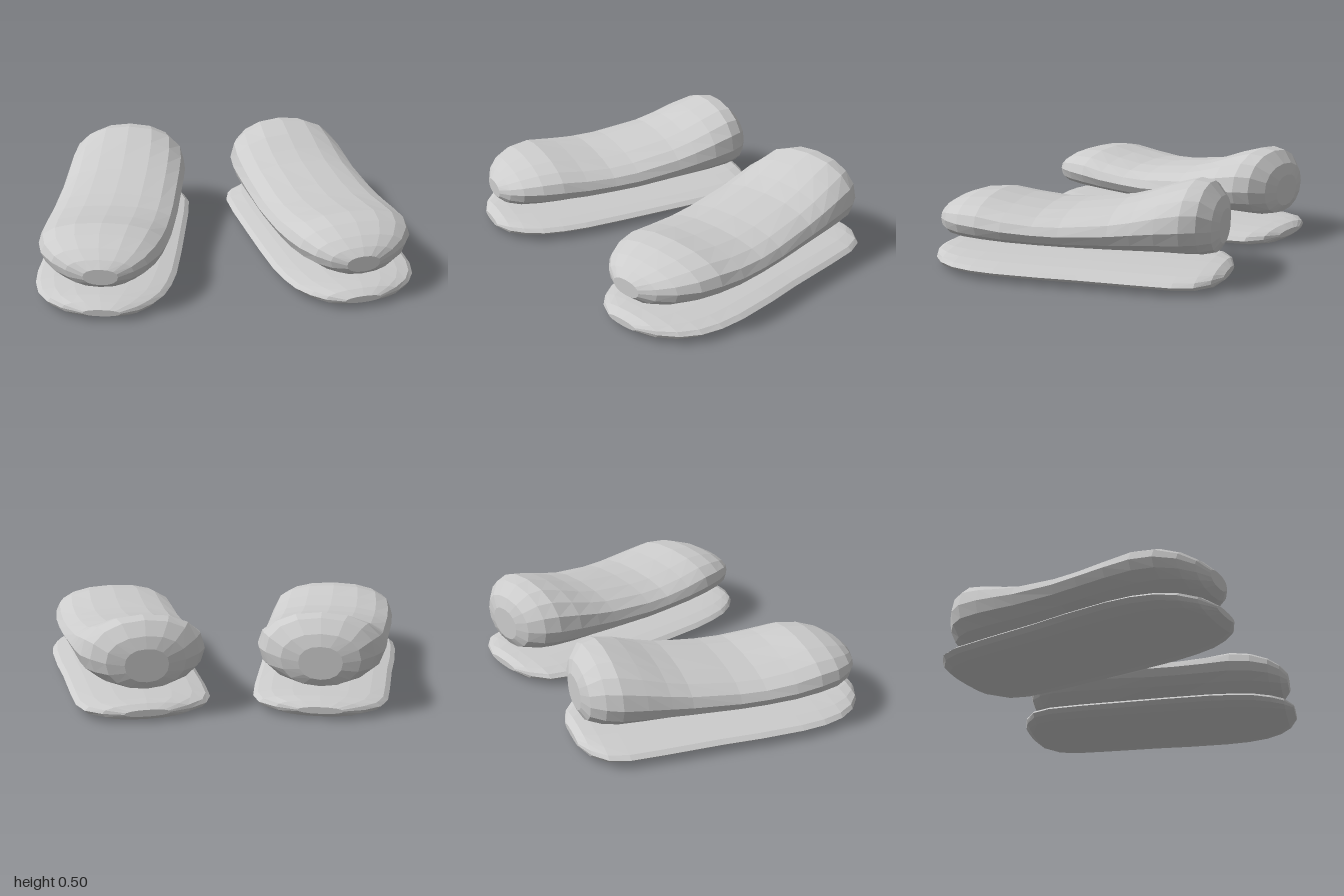
import * as THREE from 'three';

const SEGMENTS = 16;
const TOE_OUT = 0.157; // each foot turns outward by this angle
const FOOT_X = 0.555;

// Stations from heel to toe: [along, inner edge, outer edge, bottom, top, height of widest line]
const SOLE = [
  [-0.78, -0.12, 0.11, 0.03, 0.065, 0.047],
  [-0.745, -0.23, 0.215, 0.005, 0.088, 0.047],
  [-0.68, -0.32, 0.295, 0, 0.092, 0.047],
  [-0.58, -0.358, 0.33, 0, 0.092, 0.047],
  [-0.4, -0.366, 0.342, 0, 0.092, 0.047],
  [-0.1, -0.364, 0.355, 0, 0.092, 0.047],
  [0.1, -0.362, 0.371, 0, 0.092, 0.047],
  [0.33, -0.355, 0.378, 0, 0.092, 0.047],
  [0.46, -0.338, 0.367, 0, 0.092, 0.047],
  [0.57, -0.31, 0.335, 0, 0.092, 0.047],
  [0.66, -0.26, 0.275, 0, 0.092, 0.047],
  [0.725, -0.2, 0.19, 0.005, 0.088, 0.047],
  [0.77, -0.11, 0.08, 0.03, 0.065, 0.047],
];

const FOOT = [
  [-0.757, -0.12, 0.1, 0.2, 0.37, 0.29],
  [-0.735, -0.21, 0.19, 0.16, 0.43, 0.3],
  [-0.675, -0.29, 0.26, 0.15, 0.495, 0.31],
  [-0.6, -0.328, 0.3, 0.15, 0.505, 0.31],
  [-0.48, -0.345, 0.315, 0.15, 0.468, 0.3],
  [-0.36, -0.345, 0.32, 0.15, 0.422, 0.285],
  [-0.25, -0.342, 0.323, 0.15, 0.39, 0.27],
  [0, -0.338, 0.338, 0.15, 0.353, 0.25],
  [0.14, -0.333, 0.348, 0.15, 0.345, 0.25],
  [0.3, -0.327, 0.353, 0.15, 0.362, 0.255],
  [0.44, -0.315, 0.343, 0.15, 0.386, 0.265],
  [0.55, -0.287, 0.313, 0.15, 0.376, 0.265],
  [0.645, -0.237, 0.245, 0.15, 0.345, 0.26],
  [0.705, -0.175, 0.165, 0.16, 0.31, 0.25],
  [0.742, -0.1, 0.075, 0.19, 0.275, 0.235],
];

// Skins a row of rounded cross-sections and closes both ends
function loft(stations, side) {
  const soften = (v) => Math.sign(v) * Math.abs(v) ** (2 / 2.2);
  const c = Math.cos(TOE_OUT), s = Math.sin(TOE_OUT);
  const place = (across, y, along) => [
    side * (FOOT_X + across * c + along * s), y, along * c - across * s,
  ];
  const positions = [], index = [];
  for (const [along, inner, outer, bottom, top, mid] of stations) {
    for (let j = 0; j < SEGMENTS; j++) {
      const angle = (j / SEGMENTS) * Math.PI * 2;
      const u = soften(Math.cos(angle)), v = soften(Math.sin(angle));
      const across = (inner + outer) / 2 + (u * (outer - inner)) / 2;
      positions.push(...place(across, mid + v * (v > 0 ? top - mid : mid - bottom), along));
    }
  }
  const face = (a, b, d) => (side > 0 ? index.push(a, b, d) : index.push(a, d, b));
  const last = (stations.length - 1) * SEGMENTS;
  const heel = last + SEGMENTS, toe = heel + 1;
  for (const [along, inner, outer, bottom, top] of [stations[0], stations[stations.length - 1]]) {
    positions.push(...place((inner + outer) / 2, (bottom + top) / 2, along));
  }
  for (let j = 0; j < SEGMENTS; j++) {
    const k = (j + 1) % SEGMENTS;
    for (let r = 0; r < last; r += SEGMENTS) {
      face(r + j, r + k, r + SEGMENTS + j);
      face(r + k, r + SEGMENTS + k, r + SEGMENTS + j);
    }
    face(heel, k, j);
    face(toe, last + j, last + k);
  }
  const geometry = new THREE.BufferGeometry();
  geometry.setAttribute('position', new THREE.Float32BufferAttribute(positions, 3));
  geometry.setIndex(index);
  geometry.computeVertexNormals();
  return geometry;
}

export function createModel() {
  const model = new THREE.Group();
  model.name = 'pairOfShoes';
  const material = new THREE.MeshStandardMaterial({ color: 0xcccccc, flatShading: true });
  material.name = 'light grey';

  // A shoe body floating above its thin sole, mirrored for each side
  for (const [side, label] of [[1, 'left'], [-1, 'right']]) {
    const shoe = new THREE.Group();
    shoe.name = `${label}Shoe`;
    for (const [name, stations] of [['Sole', SOLE], ['Upper', FOOT]]) {
      const mesh = new THREE.Mesh(loft(stations, side), material);
      mesh.name = label + name;
      shoe.add(mesh);
    }
    model.add(shoe);
  }
  return model;
}
